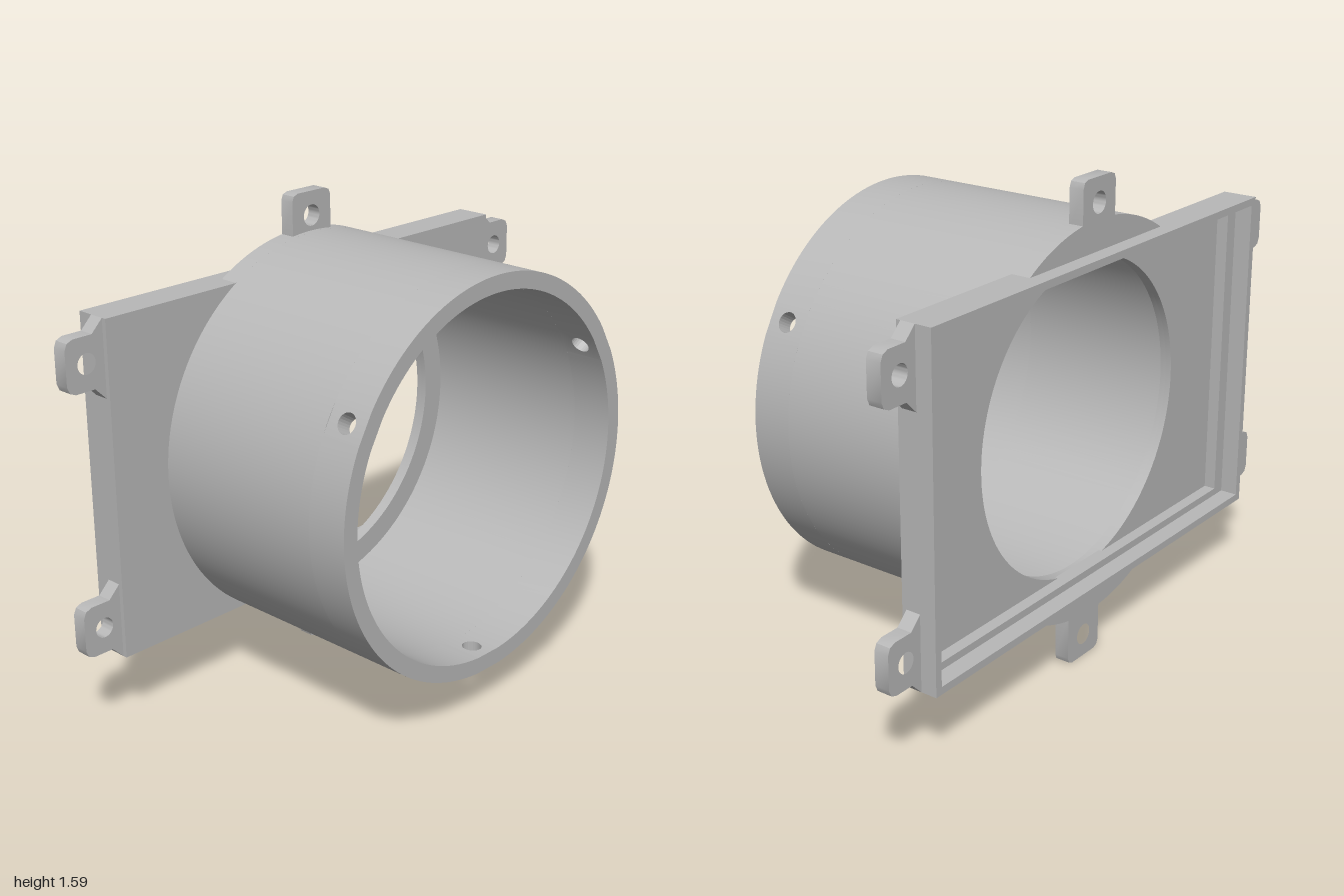
import * as THREE from 'three';
import { toCreasedNormals } from 'three/addons/utils/BufferGeometryUtils.js';

const CY = 0.805;               // height of the duct axis
const R_OUT = 0.655, R_IN = 0.6, R_HOLE = 0.52;
const W = 0.86, H = 0.555;      // half width and half height of the plate
const SPLIT = 0.3;              // the front band with screw holes starts here
const FRONT = 0.44;
const HALF = 0.08;              // half angle of each screw-hole patch

const circlePath = (x, y, r) => new THREE.Path().absarc(x, y, r, 0, Math.PI * 2, true);

function rect(Type, w, h) {
  const s = new Type();
  s.moveTo(-w, -h).lineTo(w, -h).lineTo(w, h).lineTo(-w, h).closePath();
  return s;
}

function ringShape(outer, inner) {
  const s = new THREE.Shape().absarc(0, 0, outer, 0, Math.PI * 2, false);
  s.holes.push(circlePath(0, 0, inner));
  return s;
}

function frameShape(w, h, bx, by) {
  const s = rect(THREE.Shape, w, h);
  s.holes.push(rect(THREE.Path, w - bx, h - by));
  return s;
}

export function createModel() {
  const model = new THREE.Group();
  model.name = 'ductAdapter';
  const grey = new THREE.MeshStandardMaterial({ color: 0xb8b8b8 });
  grey.name = 'grey plastic';

  const add = (name, geometry) => {
    const mesh = new THREE.Mesh(geometry, grey);
    mesh.name = name;
    mesh.position.y = CY;
    model.add(mesh);
  };
  // Extrude a shape between two z positions
  const slab = (name, shape, z0, z1, curveSegments = 64) => {
    const g = new THREE.ExtrudeGeometry(shape, { depth: z1 - z0, bevelEnabled: false, curveSegments });
    g.translate(0, 0, z0);
    add(name, toCreasedNormals(g, 0.5));
  };

  // Duct tube and the inner lip at its back
  slab('ductTube', ringShape(R_OUT, R_IN), -0.32, SPLIT);
  slab('ductLip', ringShape(R_IN + 0.01, R_HOLE), -0.32, -0.3);

  // Front band of the duct: three arcs joined by patches with screw holes
  for (let i = 0; i < 3; i++) {
    const a = Math.PI / 6 + (i * Math.PI * 2) / 3;
    const start = a + HALF, end = a + (Math.PI * 2) / 3 - HALF;
    const arc = new THREE.Shape();
    arc.absarc(0, 0, R_OUT, start, end, false);
    arc.absarc(0, 0, R_IN, end, start, true);
    arc.closePath();
    slab('ductFrontArc', arc, SPLIT, FRONT, 24);
    add('screwHolePatch', screwPatch(a));
  }

  // Rectangular tray, open at the back, with a stepped rim
  const floor = rect(THREE.Shape, W - 0.01, H - 0.01);
  floor.holes.push(circlePath(0, 0, R_HOLE));
  slab('plateFloor', floor, -0.34, -0.32);
  slab('plateRim', frameShape(W, H, 0.025, 0.025), -0.44, -0.32);
  slab('plateLedge', frameShape(W - 0.02, H - 0.02, 0.055, 0.03), -0.38, -0.33);

  // Round segments of the duct back that stand out above and below the tray
  const t = Math.asin(H / R_OUT);
  for (const side of [0, Math.PI]) {
    const seg = new THREE.Shape();
    seg.absarc(0, 0, R_OUT, t + side, Math.PI - t + side, false);
    seg.closePath();
    slab('ductBackSegment', seg, -0.385, -0.32, 24);
  }

  // Corner ears with flared roots
  const earProfile = [[W - 0.01, 0.305], [W, 0.305], [0.9, 0.345], [0.97, 0.345], [0.991, 0.354],
    [1, 0.375], [1, 0.485], [0.991, 0.506], [0.97, 0.515], [0.9, 0.515], [W, H], [W - 0.01, H]];
  for (const sx of [1, -1]) {
    for (const sy of [1, -1]) {
      const ear = new THREE.Shape(earProfile.map(([x, y]) => new THREE.Vector2(sx * x, sy * y)));
      ear.holes.push(circlePath(sx * 0.925, sy * 0.43, 0.033));
      slab('cornerEar', ear, -0.385, -0.335, 16);
    }
  }

  // Top and bottom ears; the bottom one sits off centre
  for (const [name, cx, sy, tip, holeY] of [
    ['topEar', 0, 1, 0.785, 0.705],
    ['bottomEar', 0.04, -1, 0.805, 0.727],
  ]) {
    const profile = [[-0.085, 0.63], [0.085, 0.63], [0.085, tip - 0.025], [0.078, tip - 0.007],
      [0.06, tip], [-0.06, tip], [-0.078, tip - 0.007], [-0.085, tip - 0.025]];
    const ear = new THREE.Shape(profile.map(([x, y]) => new THREE.Vector2(cx + x, sy * y)));
    ear.holes.push(circlePath(cx, sy * holeY, 0.035));
    slab(name, ear, -0.385, -0.335, 16);
  }
  return model;
}

// Flat tile with a round hole, bent onto the duct wall at the given angle
function screwPatch(angle) {
  const w = HALF * R_OUT;
  const tile = new THREE.Shape();
  tile.moveTo(-w, SPLIT).lineTo(w, SPLIT).lineTo(w, FRONT).lineTo(-w, FRONT).closePath();
  tile.holes.push(circlePath(0, 0.37, 0.033));
  const g = new THREE.ExtrudeGeometry(tile, { depth: R_OUT - R_IN, bevelEnabled: false, curveSegments: 12 });
  const p = g.attributes.position, n = g.attributes.normal;
  for (let i = 0; i < p.count; i++) {
    const a = angle + p.getX(i) / R_OUT, r = R_IN + p.getZ(i);
    const c = Math.cos(a), s = Math.sin(a);
    const nu = n.getX(i), nv = n.getY(i), nr = n.getZ(i);
    p.setXYZ(i, r * c, r * s, p.getY(i));
    n.setXYZ(i, nr * c - nu * s, nr * s + nu * c, nv);
  }
  return g;
}
